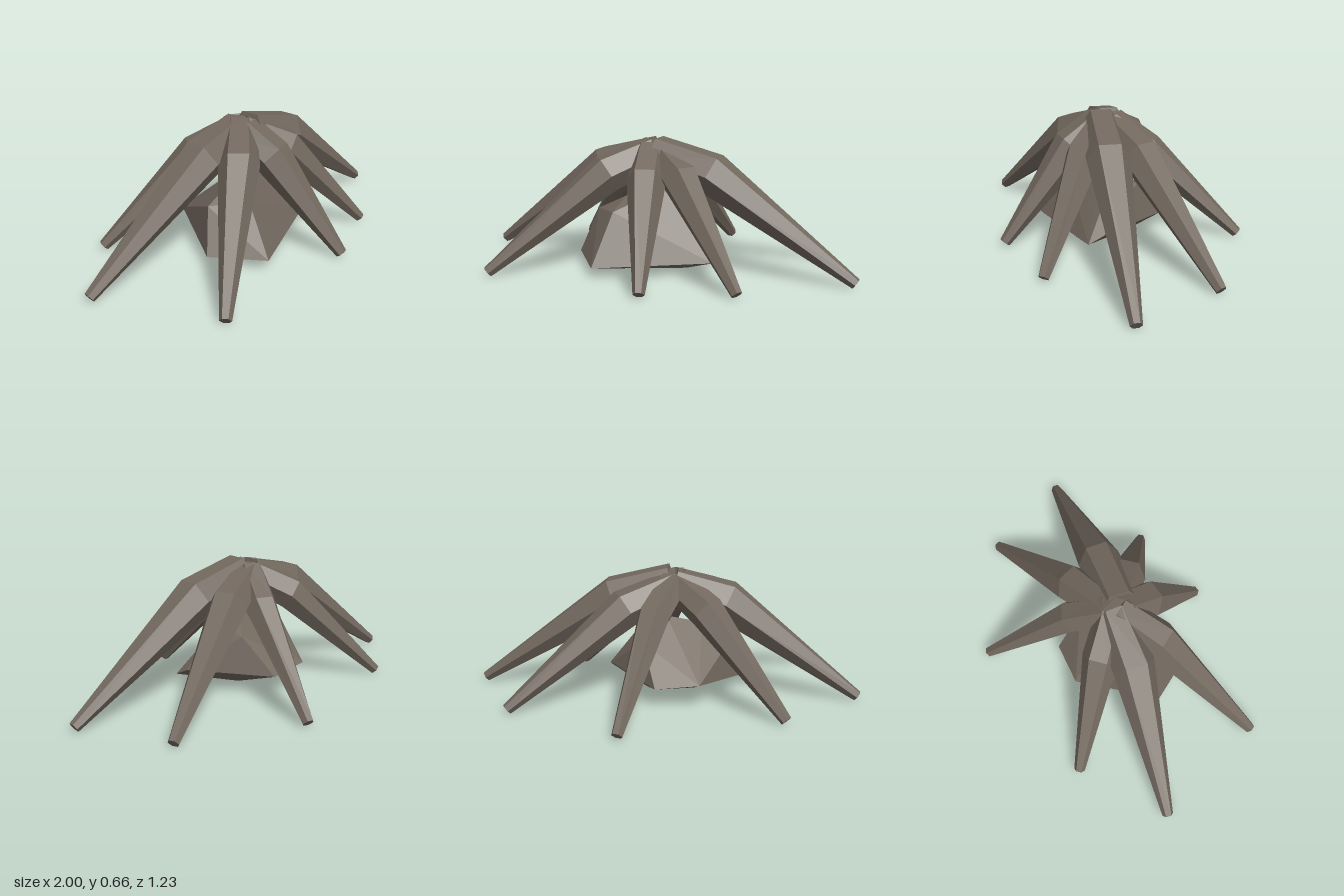
import * as THREE from 'three';
import { ConvexGeometry } from 'three/addons/geometries/ConvexGeometry.js';

const SIDES = 6;
const V = (p) => new THREE.Vector3(...p);

// Tapered six-sided limb: one ring of corners at each path point, capped at both ends
function limbGeometry(path, radii) {
  const pts = path.map(V);
  const up = new THREE.Vector3(0, 1, 0);
  const dirs = pts.slice(1).map((p, i) => p.clone().sub(pts[i]).normalize());
  const positions = [];
  const index = [];
  pts.forEach((p, i) => {
    const t = dirs[Math.max(i - 1, 0)].clone().add(dirs[Math.min(i, dirs.length - 1)]).normalize();
    const side = t.clone().cross(up).normalize();
    const normal = side.clone().cross(t);
    for (let k = 0; k < SIDES; k++) {
      const a = ((k + 0.5) / SIDES) * Math.PI * 2;
      const v = p.clone()
        .addScaledVector(side, Math.sin(a) * radii[i])
        .addScaledVector(normal, Math.cos(a) * radii[i]);
      positions.push(v.x, v.y, v.z);
    }
  });
  for (let i = 0; i < pts.length - 1; i++) {
    for (let k = 0; k < SIDES; k++) {
      const a = i * SIDES + k;
      const b = i * SIDES + ((k + 1) % SIDES);
      index.push(a, b, a + SIDES, b, b + SIDES, a + SIDES);
    }
  }
  const last = (pts.length - 1) * SIDES;
  for (let k = 1; k < SIDES - 1; k++) {
    index.push(0, k + 1, k);
    index.push(last, last + k, last + k + 1);
  }
  const indexed = new THREE.BufferGeometry();
  indexed.setAttribute('position', new THREE.Float32BufferAttribute(positions, 3));
  indexed.setIndex(index);
  const geometry = indexed.toNonIndexed();
  geometry.computeVertexNormals();
  return geometry;
}

export function createModel() {
  const model = new THREE.Group();
  model.name = 'rootedStone';
  const bark = new THREE.MeshStandardMaterial({ color: 0x72685e, flatShading: true, side: THREE.DoubleSide });
  bark.name = 'greyBrown';

  // Each limb: inner end, knee, tip, then knee radius and inner radius
  const limbs = [
    ['leftLimb', [-0.03, 0.58, 0.08], [0.27, 0.50, 0.09], [0.985, 0.025, 0.11], 0.108, 0.1],
    ['rightLimb', [-0.04, 0.585, 0.03], [-0.31, 0.50, 0.03], [-0.985, 0.025, -0.05], 0.108, 0.085],
    ['backLimb', [-0.04, 0.585, 0.02], [0.05, 0.46, -0.15], [0.187, 0.022, -0.595], 0.085, 0.08],
    ['backLeftLimb', [-0.05, 0.58, 0.03], [0.2, 0.48, -0.08], [0.765, 0.022, -0.327], 0.1, 0.08],
    ['backRightLimb', [-0.05, 0.58, 0.03], [-0.21, 0.475, -0.1], [-0.6, 0.022, -0.38], 0.09, 0.08],
    ['frontLeftLimb', [-0.04, 0.59, 0.05], [0.14, 0.48, 0.19], [0.497, 0.022, 0.44], 0.095, 0.08],
    ['frontLimb', [-0.05, 0.58, 0.08], [-0.02, 0.475, 0.23], [0.08, 0.022, 0.59], 0.098, 0.09],
    ['frontRightLimb', [-0.05, 0.585, 0.05], [-0.24, 0.49, 0.2], [-0.742, 0.022, 0.535], 0.1, 0.085],
  ];
  for (const [name, inner, knee, tip, kneeRadius, innerRadius] of limbs) {
    const limb = new THREE.Mesh(limbGeometry([inner, knee, tip], [innerRadius, kneeRadius, 0.028]), bark);
    limb.name = name;
    model.add(limb);
  }

  // Faceted stone sheltered under the limbs
  const corners = [
    [-0.42, 0.06, 0.15], [-0.25, 0.05, 0.39], [0.18, 0.05, 0.22], [0.31, 0.08, 0.2],
    [0.305, 0.12, 0.12], [0.04, 0.11, -0.24], [-0.18, 0.13, -0.23], [-0.15, 0.05, -0.05],
    [0.1, 0.05, -0.04], [-0.34, 0.28, 0.09], [-0.18, 0.36, 0.1], [0.15, 0.33, 0.06],
    [0.11, 0.3, -0.08], [0.0, 0.4, 0.07], [-0.2, 0.3, 0.23],
  ];
  const stone = new THREE.Mesh(new ConvexGeometry(corners.map(V)), bark);
  stone.name = 'stone';
  model.add(stone);

  return model;
}
